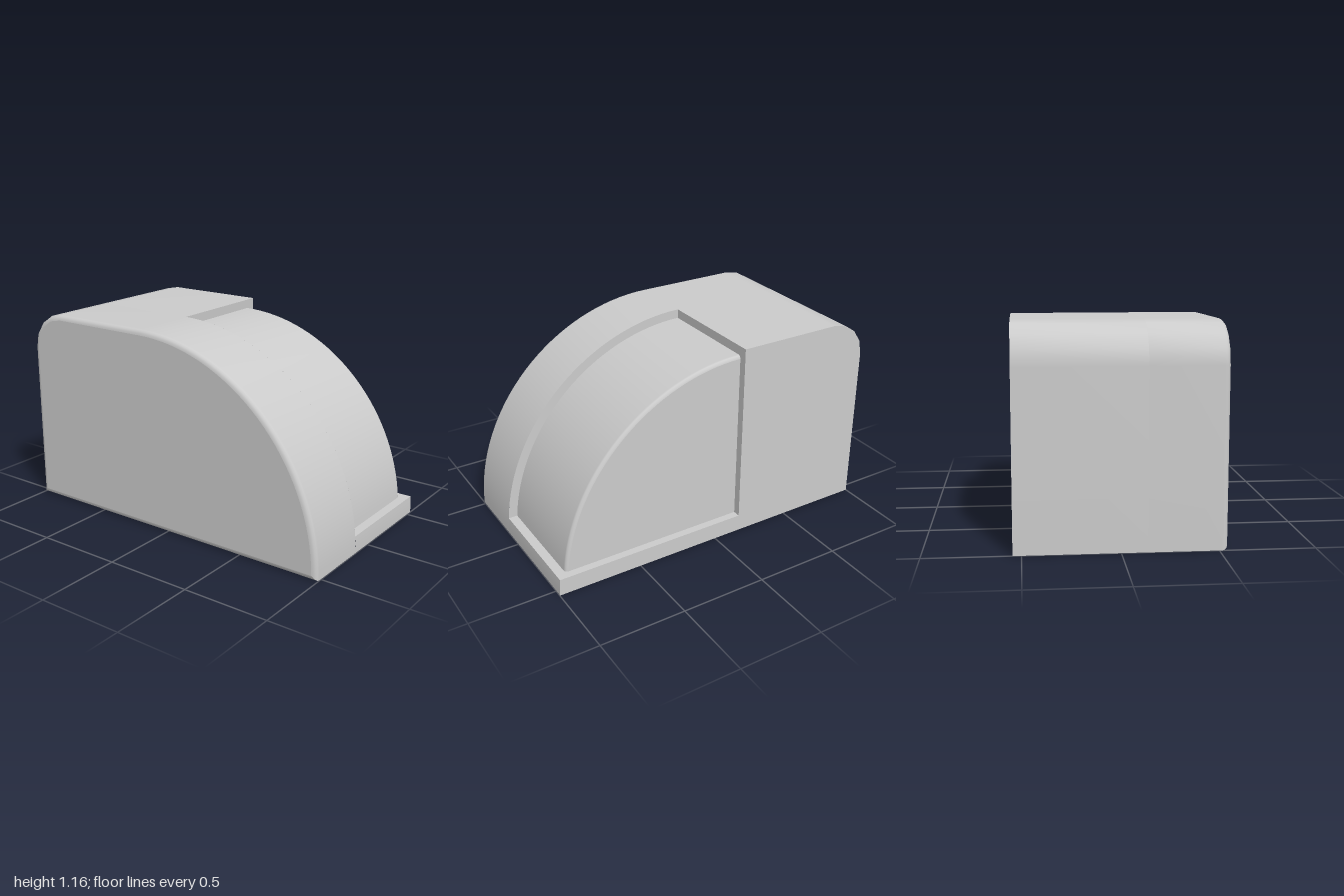
import * as THREE from 'three';

const R = 1.163, CZ = -0.165;            // front arc radius and centre
const XL = -0.545, XM = -0.135, XP = 0.5, XR = 0.545; // outer left, recess edge, panel side, outer right
const SILL = 0.1, RP = 1.11, BEVEL = 0.03, CORNER = 0.22;

const material = new THREE.MeshStandardMaterial({ color: 0xcccccc, side: THREE.DoubleSide });

// Points [z, y] of the front arc between two heights
function frontArc(r, y0, y1 = r, n = 32) {
  const a0 = Math.asin(y0 / r), a1 = Math.asin(Math.min(1, y1 / r));
  return Array.from({ length: n + 1 }, (_, i) => {
    const a = a0 + (a1 - a0) * i / n;
    return [CZ + r * Math.cos(a), r * Math.sin(a)];
  });
}

// Roof, rounded rear corner and back wall, drawn inwards by d
function rearLine(d = 0) {
  const pts = [[CZ, R - d]], r = CORNER - d;
  for (let i = 0; i <= 4; i++) {
    const a = i * Math.PI / 8;
    pts.push([-1 + CORNER - r * Math.sin(a), R - CORNER + r * Math.cos(a)]);
  }
  pts.push([-1 + d, d]);
  return pts;
}

const fullLine = (d = 0) => [...frontArc(R - d, d), ...rearLine(d).slice(1)];

// Smooth skin through rows of [x, line], x rising
function skin(rows) {
  const pos = [], index = [], n = rows[0][1].length;
  for (const [x, line] of rows) for (const [z, y] of line) pos.push(x, y, z);
  for (let r = 0; r < rows.length - 1; r++) {
    for (let c = 0; c < n - 1; c++) {
      const a = r * n + c, b = a + 1, d = a + n, e = d + 1;
      index.push(a, d, b, b, d, e);
    }
  }
  const g = new THREE.BufferGeometry();
  g.setAttribute('position', new THREE.Float32BufferAttribute(pos, 3));
  g.setIndex(index);
  g.computeVertexNormals();
  return g;
}

const flat = (pts) => new THREE.ShapeGeometry(new THREE.Shape(pts.map(p => new THREE.Vector2(...p))));

// Flat face at x from [z, y] points, facing s along x
const sideFace = (pts, x, s) =>
  flat(pts.map(([z, y]) => [-s * z, y])).rotateY(s * Math.PI / 2).translate(x, 0, 0);

export function createModel() {
  const model = new THREE.Group();
  const add = (name, geometry) => {
    const mesh = new THREE.Mesh(geometry, material);
    mesh.name = name;
    model.add(mesh);
  };

  // Left part of the shell with its rounded edge
  const rounded = [];
  for (let i = 4; i >= 0; i--) {
    const a = i * Math.PI / 8;
    rounded.push([XL + BEVEL - BEVEL * Math.sin(a), BEVEL * (1 - Math.cos(a))]);
  }
  add('leftShell', skin([...rounded.map(([x, d]) => [x, fullLine(d)]), [XM, fullLine()]]));
  add('leftBottomEdge', skin(rounded.map(([x, d]) => {
    const line = fullLine(d);
    return [x, [line[line.length - 1], line[0]]];
  })));
  add('leftWall', sideFace(fullLine(BEVEL), XL, -1));

  // Right part of the shell around the recess
  add('rearShell', skin([[XM, rearLine()], [XR, rearLine()]]));
  const sillArc = frontArc(R, 0, SILL, 4);
  add('frontSill', skin([[XM, sillArc], [XR, sillArc]]));
  add('rightWall', sideFace([...sillArc, [CZ, SILL], ...rearLine()], XR, 1));

  // Inset panel with a softened edge
  const soft = 0.02, panelRows = [[XM, frontArc(RP, SILL)]];
  for (let i = 0; i <= 3; i++) {
    const a = i * Math.PI / 6;
    panelRows.push([XP - soft + soft * Math.sin(a), frontArc(RP - soft * (1 - Math.cos(a)), SILL)]);
  }
  add('insetPanel', skin(panelRows));
  add('insetPanelSide', sideFace([[CZ, SILL], ...frontArc(RP - soft, SILL)], XP, 1));

  // Narrow walls of the recess
  add('recessLeftWall', sideFace([...frontArc(R, SILL), ...frontArc(RP, SILL).reverse()], XM, 1));
  add('recessRearWall', flat([
    [XP, SILL], [XR, SILL], [XR, R], [XM, R], [XM, RP], [XP - soft, RP], [XP, RP - soft],
  ]).translate(0, 0, CZ));
  const zOut = frontArc(R, SILL)[0][0], zIn = frontArc(RP, SILL)[0][0];
  add('recessLedge', flat([
    [XM, -zOut], [XR, -zOut], [XR, -CZ], [XP, -CZ], [XP, soft - zIn], [XP - soft, -zIn], [XM, -zIn],
  ]).rotateX(-Math.PI / 2).translate(0, SILL, 0));

  return model;
}
